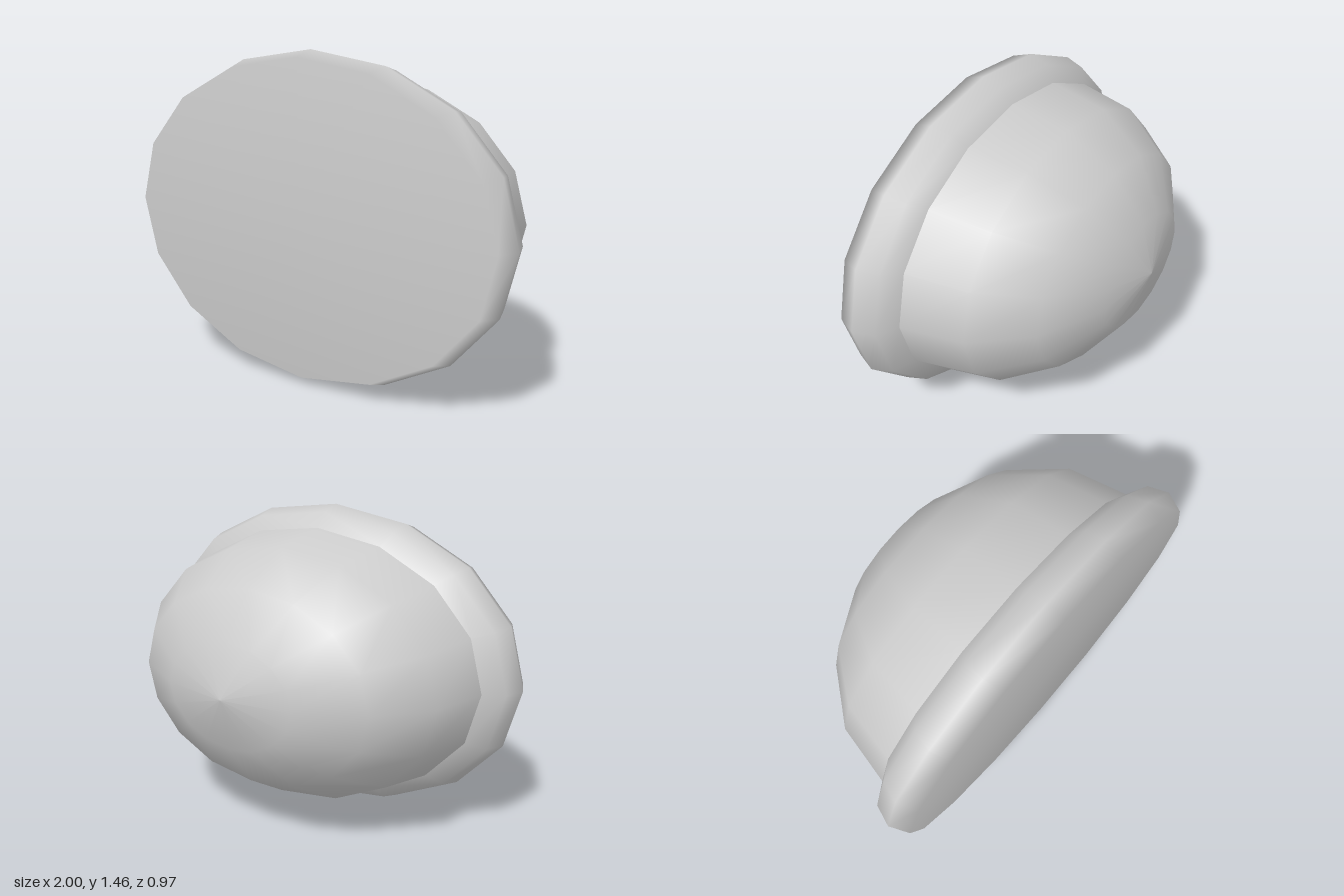
import * as THREE from 'three';

const SIDES = 16;
const HEIGHT_RATIO = 0.73;

// Oval solid turned around the z axis from [radius, z] points, back to front
function ovalLathe(name, profile, material) {
  const points = profile.map(([r, z]) => new THREE.Vector2(r, z));
  const geometry = new THREE.LatheGeometry(points, SIDES);
  geometry.rotateX(Math.PI / 2);
  geometry.scale(1, HEIGHT_RATIO, 1);
  geometry.translate(0, HEIGHT_RATIO, 0);
  const mesh = new THREE.Mesh(geometry, material);
  mesh.name = name;
  return mesh;
}

export function createModel() {
  const group = new THREE.Group();
  group.name = 'ovalDomedButton';
  const grey = new THREE.MeshStandardMaterial({ color: 0xcccccc });
  grey.name = 'lightGrey';

  // Rounded dome at the back
  group.add(ovalLathe('dome', [
    [0, -0.485], [0.335, -0.43], [0.62, -0.275], [0.81, -0.04], [0.873, 0.243],
  ], grey));

  // Bulging rim that blends softly into the flat front face
  group.add(ovalLathe('rimAndFace', [
    [0.873, 0.243], [0.965, 0.297], [1, 0.393], [0.96, 0.485], [0, 0.485],
  ], grey));

  return group;
}
